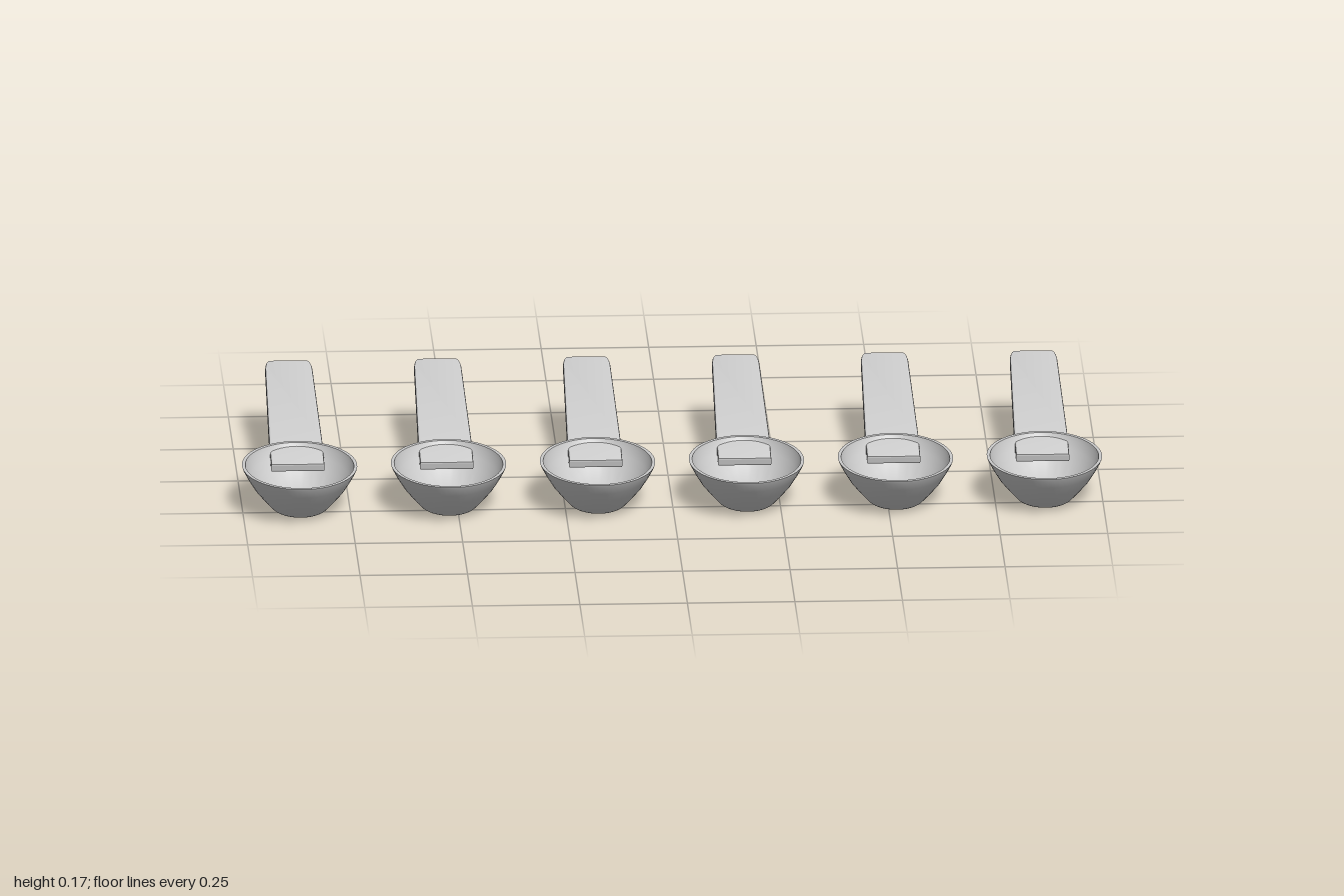
import * as THREE from 'three';
import { toCreasedNormals } from 'three/addons/utils/BufferGeometryUtils.js';

const COUNT = 6, SPACING = 0.3464;
const BOWL_Z = 0.205, BOWL_RATIO = 0.705;

// Oval bowl: lathed wall with a flat foot, squashed in x
function bowlGeometry() {
  const profile = [
    [0, 0], [0.088, 0], [0.094, 0.003], [0.122, 0.025], [0.149, 0.048],
    [0.171, 0.073], [0.187, 0.094], [0.19, 0.1], [0.179, 0.1],
    [0.175, 0.09], [0.162, 0.072], [0.141, 0.051], [0.115, 0.031],
    [0.088, 0.015], [0.05, 0.01], [0, 0.009],
  ].map(([r, y]) => new THREE.Vector2(r, y));
  const geometry = new THREE.LatheGeometry(profile, 64);
  geometry.scale(BOWL_RATIO, 1, 1);
  return toCreasedNormals(geometry, 0.5);
}

// Tapered flat handle with softened edges; its front end reaches into the bowl
function handleGeometry() {
  const bevel = 0.004, thickness = 0.02;
  const shape = new THREE.Shape();
  shape.moveTo(-0.058, -0.113);
  shape.lineTo(0.058, -0.113);
  shape.lineTo(0.058, 0);
  shape.lineTo(0.051, 0.36);
  shape.quadraticCurveTo(0.049, 0.397, 0.04, 0.397);
  shape.lineTo(-0.04, 0.397);
  shape.quadraticCurveTo(-0.049, 0.397, -0.051, 0.36);
  shape.lineTo(-0.058, 0);
  shape.closePath();
  const geometry = new THREE.ExtrudeGeometry(shape, {
    depth: thickness - 2 * bevel, bevelEnabled: true,
    bevelSize: bevel, bevelThickness: bevel, bevelSegments: 2, curveSegments: 6,
  });
  geometry.translate(0, 0, bevel - thickness / 2);
  geometry.rotateX(-Math.PI / 2);
  return toCreasedNormals(geometry, 0.5);
}

export function createModel() {
  const model = new THREE.Group();
  model.name = 'spoonSet';
  const material = new THREE.MeshStandardMaterial({ color: 0xcccccc });
  const bowlShape = bowlGeometry(), handleShape = handleGeometry();

  // Row of identical spoons
  for (let i = 0; i < COUNT; i++) {
    const spoon = new THREE.Group();
    spoon.name = 'spoon';
    spoon.position.x = (i - (COUNT - 1) / 2) * SPACING;

    const bowl = new THREE.Mesh(bowlShape, material);
    bowl.name = 'bowl';
    bowl.position.z = BOWL_Z;

    const handle = new THREE.Mesh(handleShape, material);
    handle.name = 'handle';
    handle.position.y = 0.087;
    handle.rotation.x = 0.185;

    spoon.add(bowl, handle);
    model.add(spoon);
  }
  return model;
}
